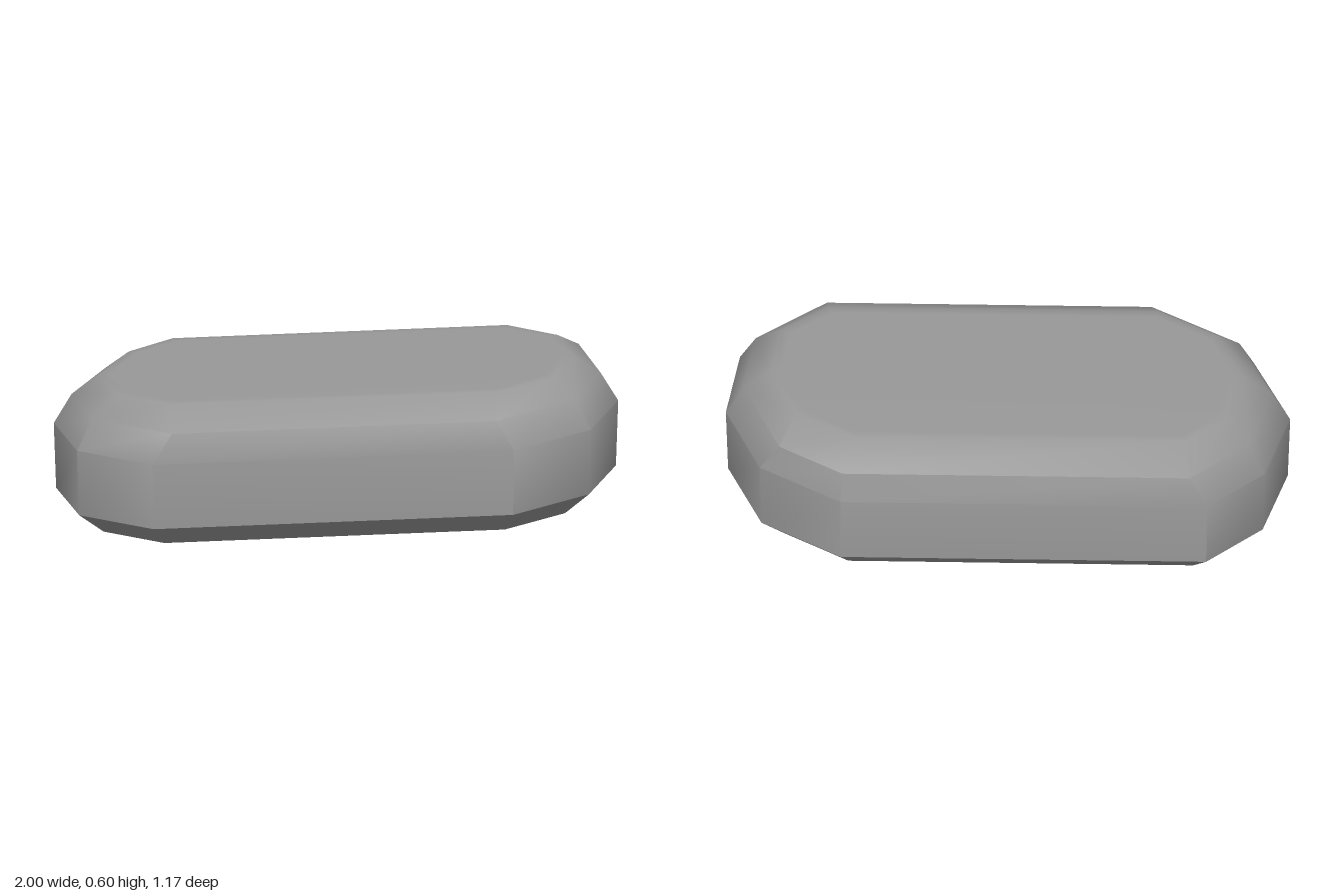
import * as THREE from 'three';
import { toCreasedNormals } from 'three/addons/utils/BufferGeometryUtils.js';

// Widest outline in plan [x, z], from the left tip round by the front
const OUTLINE = [
  [-1, 0.03], [-0.88, 0.38], [-0.59, 0.58], [0.69, 0.53], [0.94, 0.3],
  [1, -0.05], [0.89, -0.39], [0.61, -0.59], [-0.69, -0.54], [-0.9, -0.32],
];
const N = OUTLINE.length;
const STEEP = [2, 6, 7]; // edges whose wall carries on higher before rounding over
const TILT = 0.062;

// Move each edge of the outline inward and intersect neighbouring edges
function ring(height, insetOf) {
  const lines = OUTLINE.map(([x, z], i) => {
    const [x2, z2] = OUTLINE[(i + 1) % N];
    const len = Math.hypot(x2 - x, z2 - z);
    const nx = -(z2 - z) / len, nz = (x2 - x) / len;
    return { nx, nz, c: nx * x + nz * z - insetOf(i) };
  });
  return lines.map((b, i) => {
    const a = lines[(i + N - 1) % N];
    const det = a.nx * b.nz - a.nz * b.nx;
    const x = (a.c * b.nz - b.c * a.nz) / det;
    const z = (a.nx * b.c - b.nx * a.c) / det;
    return [x, height + TILT * x, z];
  });
}

// Stack of rings joined by quads, closed by a fan at each end
function loft(rings) {
  const pos = [];
  const tri = (a, b, c) => pos.push(...a, ...b, ...c);
  const centre = (r) => [0, 1, 2].map((k) => r.reduce((s, p) => s + p[k], 0) / N);
  const bottom = rings[0], top = rings[rings.length - 1];
  const cb = centre(bottom), ct = centre(top);
  for (let i = 0; i < N; i++) {
    const j = (i + 1) % N;
    for (let k = 0; k < rings.length - 1; k++) {
      const lo = rings[k], hi = rings[k + 1];
      tri(lo[i], lo[j], hi[j]);
      tri(lo[i], hi[j], hi[i]);
    }
    tri(cb, bottom[j], bottom[i]);
    tri(ct, top[i], top[j]);
  }
  const geo = new THREE.BufferGeometry();
  geo.setAttribute('position', new THREE.Float32BufferAttribute(pos, 3));
  return toCreasedNormals(geo, 0.68);
}

export function createModel() {
  const group = new THREE.Group();
  group.name = 'stone';
  const grey = new THREE.MeshStandardMaterial({ color: 0x999999 });
  grey.name = 'stone grey';

  const body = new THREE.Mesh(loft([
    ring(0.058, () => 0.105),                              // flat underside
    ring(0.14, () => 0.008),                               // lower bevel
    ring(0.38, () => 0),                                   // wall
    ring(0.485, (i) => (STEEP.includes(i) ? 0.025 : 0.06)), // shoulder
    ring(0.555, () => 0.155),                              // upper bevel
    ring(0.556, () => 0.19),                               // flat top
  ]), grey);
  body.name = 'stoneBody';
  group.add(body);
  return group;
}
